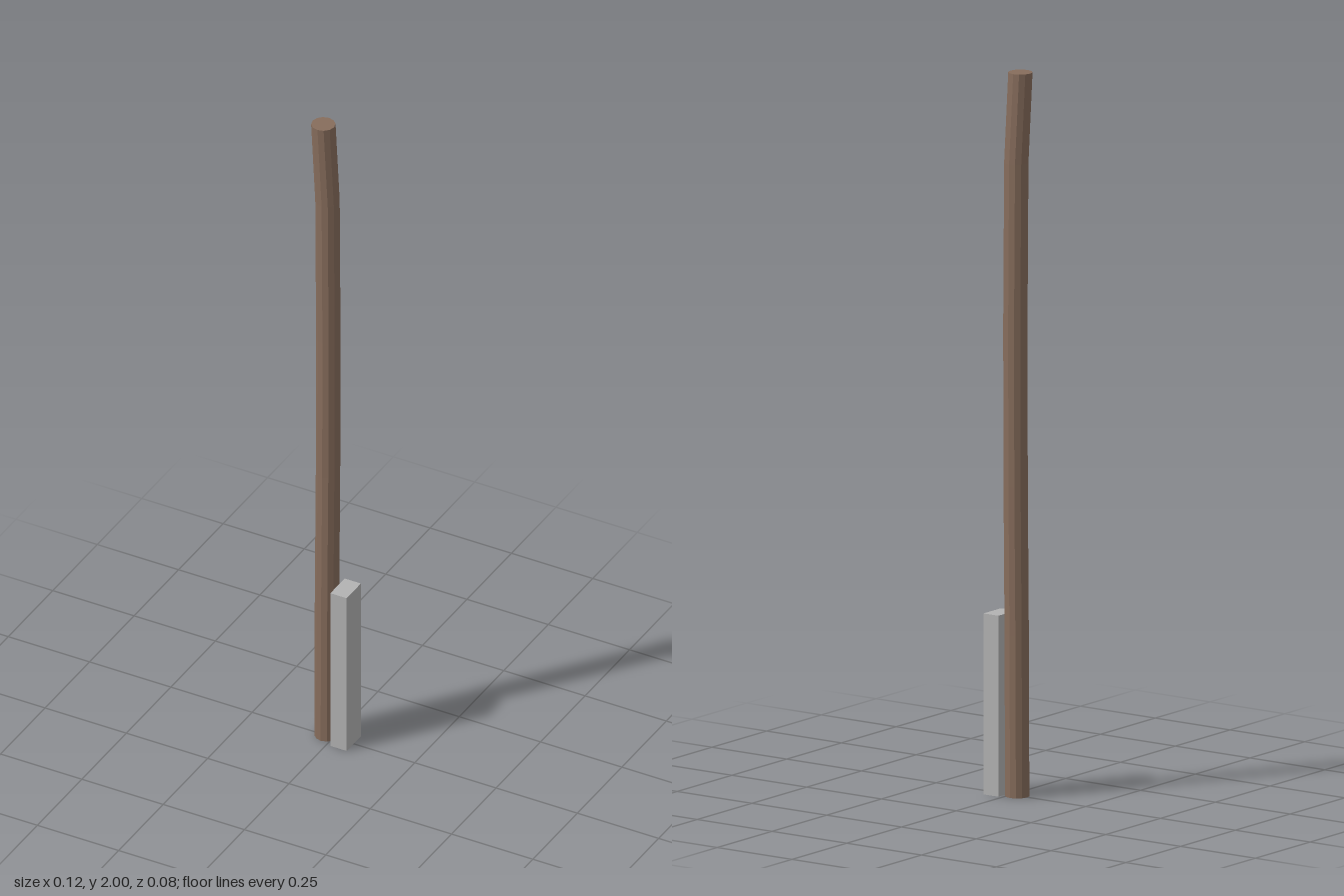
import * as THREE from 'three';

const brown = new THREE.MeshStandardMaterial({ color: 0x876d5c, flatShading: true });
brown.name = 'wood brown';
const grey = new THREE.MeshStandardMaterial({ color: 0xb2b2b2, flatShading: true });
grey.name = 'block grey';

// Pole centre line as [x, y, z], slightly bent towards the top
const PATH = [
  [-0.023, 0, -0.003],
  [-0.022, 0.45, -0.004],
  [-0.020, 0.86, -0.006],
  [-0.019, 1.3, -0.006],
  [-0.020, 1.75, -0.003],
  [-0.030, 2, 0.002],
];

function makePole(radius, sides) {
  const geo = new THREE.CylinderGeometry(radius, radius, 2, sides, PATH.length - 1);
  const p = geo.attributes.position;
  const n = PATH.length - 1;
  // Move each ring of the cylinder onto the centre line
  for (let i = 0; i < p.count; i++) {
    const [x, y, z] = PATH[Math.round((p.getY(i) + 1) / 2 * n)];
    p.setXYZ(i, p.getX(i) + x, y, p.getZ(i) + z);
  }
  geo.computeVertexNormals();
  return geo;
}

export function createModel() {
  const group = new THREE.Group();

  const pole = new THREE.Mesh(makePole(0.033, 12), brown);
  pole.name = 'pole';
  group.add(pole);

  // Upright block beside the foot of the pole
  const block = new THREE.Mesh(new THREE.BoxGeometry(0.05, 0.5, 0.08), grey);
  block.name = 'footBlock';
  block.position.set(0.037, 0.25, -0.001);
  group.add(block);

  return group;
}
